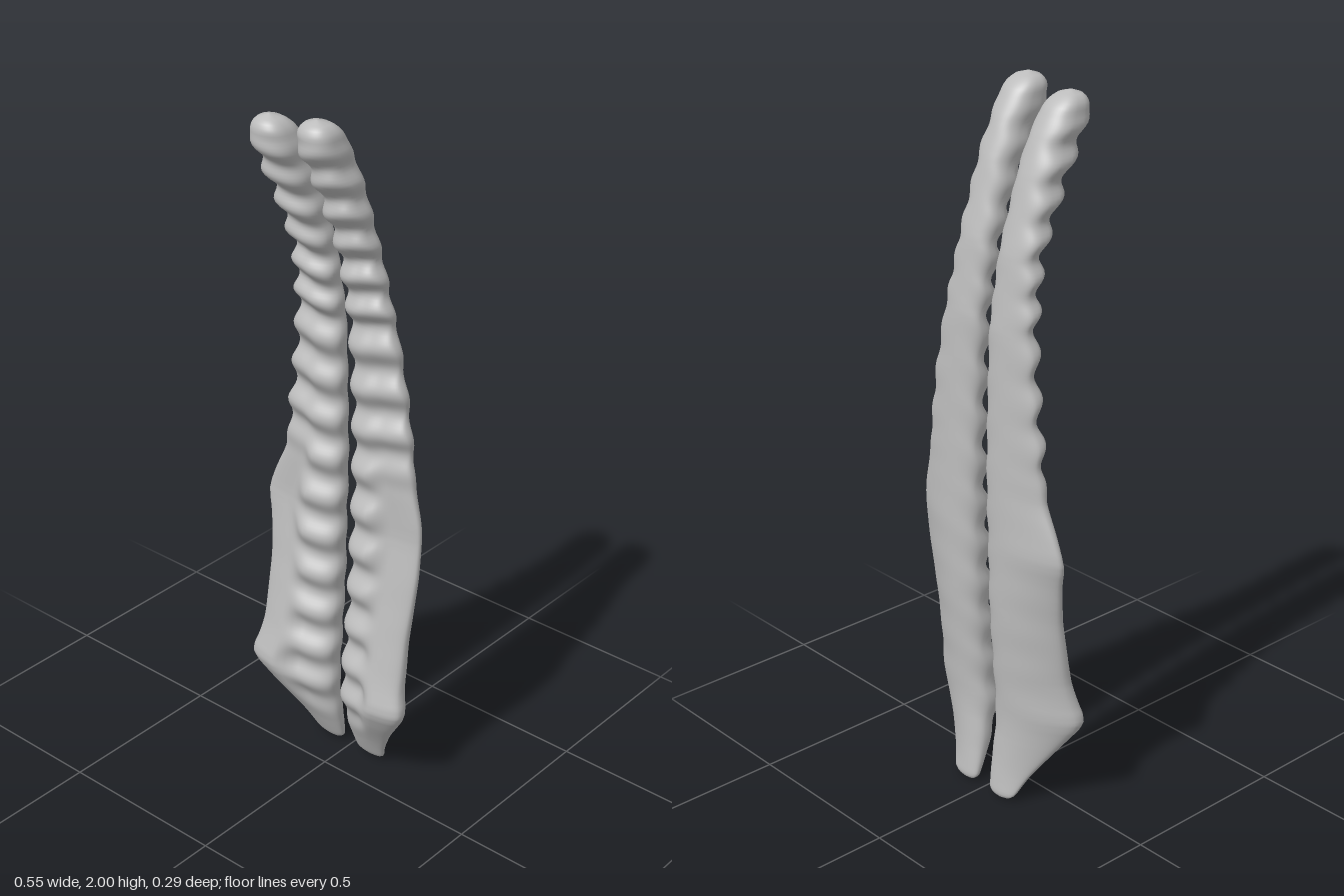
import * as THREE from 'three';

// Piecewise interpolation of rows [y, a, b, ...] (ascending y), lightly smoothed
function sample(rows, y) {
  const at = (v) => {
    const t = Math.min(rows[rows.length - 1][0], Math.max(0, v));
    let k = 0;
    while (k < rows.length - 2 && t > rows[k + 1][0]) k++;
    const f = (t - rows[k][0]) / (rows[k + 1][0] - rows[k][0]);
    return rows[k].map((a, i) => a + (rows[k + 1][i] - a) * f);
  };
  const r = Math.min(0.025, y, 2 - y);
  const [p, q, s] = [at(y - r), at(y), at(y + r)];
  return q.map((v, i) => v * 0.5 + (p[i] + s[i]) * 0.25);
}

// Height, back z at inner edge, back z at outer edge, front z of ridge, front z of wing
const DEPTH = [
  [0, -0.137, -0.133, -0.11, -0.11],
  [0.1, -0.127, -0.1, -0.06, -0.06],
  [0.2, -0.122, -0.07, -0.02, 0.0],
  [0.28, -0.125, -0.05, 0.0, 0.04],
  [0.4, -0.132, -0.07, -0.01, 0.01],
  [0.6, -0.145, -0.09, -0.025, -0.03],
  [0.8, -0.148, -0.11, -0.035, -0.065],
  [1.0, -0.142, -0.12, -0.05, -0.062],
  [1.2, -0.135, -0.12, -0.05, -0.06],
  [1.4, -0.125, -0.115, -0.045, -0.05],
  [1.6, -0.095, -0.095, -0.01, -0.015],
  [1.8, -0.04, -0.04, 0.075, 0.075],
  [1.9, 0.0, 0.0, 0.135, 0.135],
  [1.96, 0.035, 0.035, 0.153, 0.153],
  [2.0, 0.06, 0.06, 0.15, 0.15],
];

// Height, inner |x|, outer |x|
const RIGHT = [
  [0, 0.03, 0.11], [0.08, 0.018, 0.145], [0.15, 0.015, 0.19], [0.24, 0.013, 0.25],
  [0.28, 0.012, 0.28], [0.33, 0.012, 0.26], [0.4, 0.012, 0.245], [0.6, 0.012, 0.245],
  [0.72, 0.012, 0.26], [0.79, 0.012, 0.28], [0.86, 0.01, 0.255], [0.95, 0.01, 0.212],
  [1.05, 0.01, 0.2], [1.2, 0.01, 0.18], [1.4, 0.01, 0.157], [1.6, 0.015, 0.142],
  [1.9, 0.02, 0.142], [2.0, 0.04, 0.14],
];
const LEFT = [
  [0, 0.03, 0.12], [0.06, 0.025, 0.14], [0.15, 0.024, 0.19], [0.22, 0.024, 0.24],
  [0.28, 0.027, 0.28], [0.35, 0.03, 0.262], [0.5, 0.033, 0.257], [0.7, 0.034, 0.267],
  [0.85, 0.035, 0.262], [0.95, 0.033, 0.237], [1.05, 0.032, 0.225], [1.2, 0.03, 0.205],
  [1.3, 0.027, 0.187], [1.45, 0.022, 0.158], [1.6, 0.017, 0.133], [1.9, 0.013, 0.122],
  [2.0, 0.012, 0.118],
];

const smooth = THREE.MathUtils.smoothstep;
const lerp = THREE.MathUtils.lerp;

// Ripple with tighter spacing toward the tip
const ripple = (y) =>
  Math.cos(2 * Math.PI * (y < 1.4 ? (y - 1.345) / 0.122 : 0.45 + (y - 1.4) / 0.094));

// One ribbed blade, lofted from horizontal cross-sections
function blade(outline, side, height) {
  const ROWS = 220, SEG = 48, pos = [], idx = [];
  for (let j = 0; j <= ROWS; j++) {
    const y = (2 * j) / ROWS;
    const [, backIn, backOut, ridge, wing] = sample(DEPTH, y);
    let [, xin, xout] = sample(outline, y);
    // Ripples reach the outer edge only above the wing
    const fade = smooth(y, 0.05, 0.3) * (1 - smooth(y, 1.88, 1.98));
    const upper = smooth(y, 0.92, 1.1);
    xout += 0.007 * fade * upper * ripple(y);
    xin -= 0.004 * fade * ripple(y);
    // Rounded ends
    const d = Math.min(1, Math.min(y / 0.025, (2 - y) / 0.045));
    const cap = Math.sqrt(Math.max(0, 1 - (1 - d) ** 2));
    const xc = (xin + xout) / 2;
    const zc = (backIn + backOut + ridge + wing) / 4;
    for (let i = 0; i < SEG; i++) {
      const th = (2 * Math.PI * i) / SEG;
      const u = (1 - Math.cos(th)) / 2;
      const edge = Math.abs(Math.sin(th)) ** 0.75 * Math.sign(Math.sin(th));
      const back = lerp(backIn, backOut, u * u);
      const reach = lerp(1 - smooth(u, 0.35, 0.62), 1, upper);
      let front = lerp(ridge, wing, smooth(u, 0.35, 0.65));
      front += 0.012 * fade * reach * ripple(y - 0.03 * (u - 0.5));
      const z = (front + back) / 2 + ((front - back) / 2) * edge;
      const x = lerp(xin, xout, u);
      pos.push(side * (xc + (x - xc) * cap), (y * height) / 2, zc + (z - zc) * cap);
    }
  }
  for (let j = 0; j < ROWS; j++) {
    for (let i = 0; i < SEG; i++) {
      const a = j * SEG + i, b = j * SEG + ((i + 1) % SEG);
      const c = b + SEG, e = a + SEG;
      // The front half runs inner to outer, so mirrored blades reverse their winding
      if (side > 0) idx.push(a, b, c, a, c, e);
      else idx.push(a, c, b, a, e, c);
    }
  }
  const g = new THREE.BufferGeometry();
  g.setAttribute('position', new THREE.Float32BufferAttribute(pos, 3));
  g.setIndex(idx);
  g.computeVertexNormals();
  return g;
}

export function createModel() {
  const group = new THREE.Group();
  const grey = new THREE.MeshStandardMaterial({ color: 0xbcbcbc });
  grey.name = 'light grey';
  const add = (name, outline, side, height) => {
    const mesh = new THREE.Mesh(blade(outline, side, height), grey);
    mesh.name = name;
    group.add(mesh);
  };
  add('leftBlade', LEFT, 1, 2);
  add('rightBlade', RIGHT, -1, 1.98);
  return group;
}
